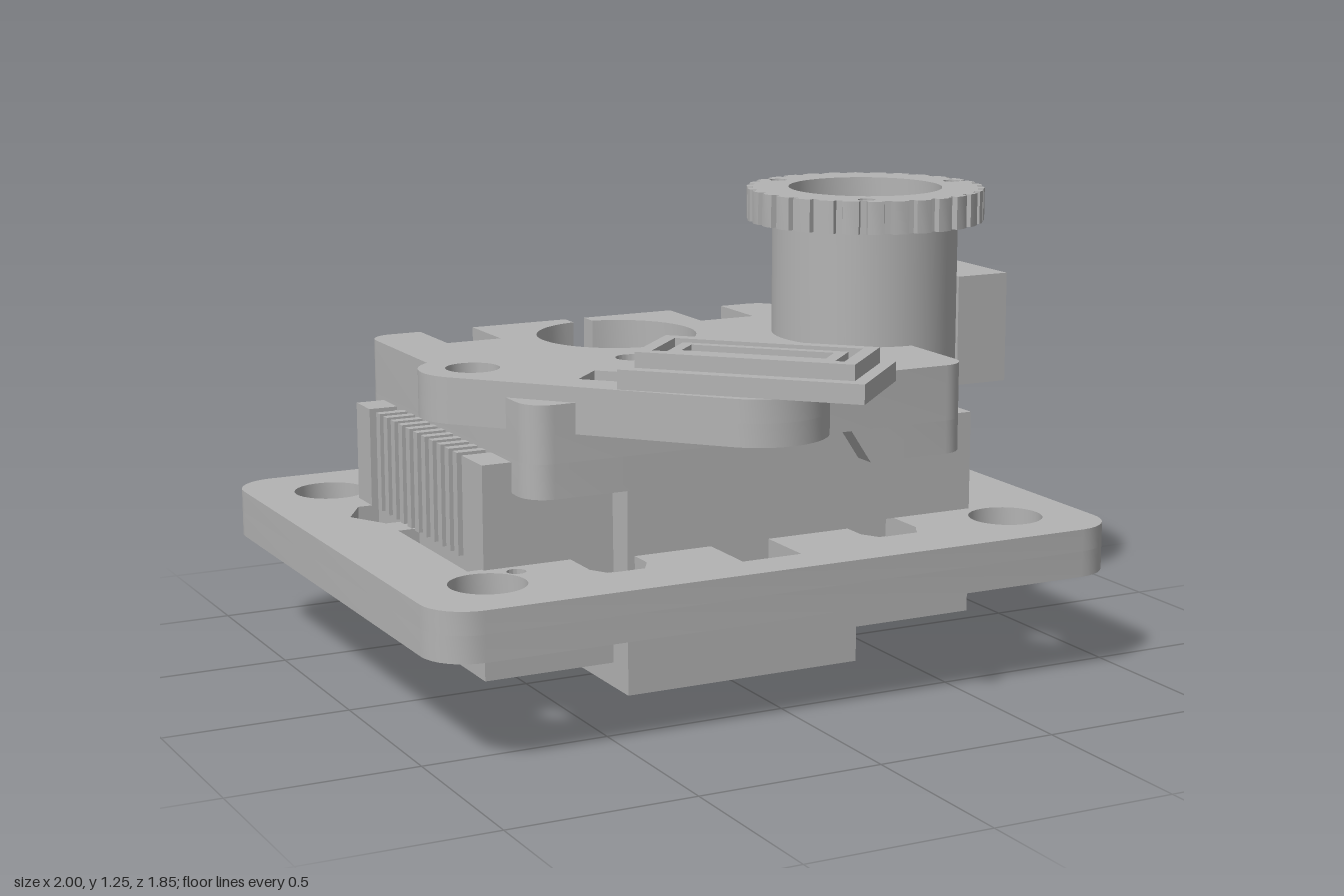
import * as THREE from 'three';
import { toCreasedNormals } from 'three/addons/utils/BufferGeometryUtils.js';

const grey = new THREE.MeshStandardMaterial({ color: 0xb3b3b3 });
grey.name = 'plain grey';

export function createModel() {
  const model = new THREE.Group();

  const add = (name, geo, parent = model) => {
    const mesh = new THREE.Mesh(geo, grey);
    mesh.name = name;
    parent.add(mesh);
    return mesh;
  };
  const box = (name, x0, x1, y0, y1, z0, z1, parent) => add(name,
    new THREE.BoxGeometry(x1 - x0, y1 - y0, z1 - z0)
      .translate((x0 + x1) / 2, (y0 + y1) / 2, (z0 + z1) / 2), parent);

  // Plan outlines use (x, z) and are extruded from y0 up to y1
  const slab = (name, shape, y0, y1, parent) => {
    const geo = new THREE.ExtrudeGeometry(shape, { depth: y1 - y0, bevelEnabled: false, curveSegments: 24 });
    geo.rotateX(Math.PI / 2).translate(0, y1, 0);
    return add(name, toCreasedNormals(geo, 0.5), parent);
  };
  const poly = (pts) => new THREE.Shape(pts.map(([x, z]) => new THREE.Vector2(x, z)));
  const rect = (x0, x1, z0, z1) => poly([[x0, z0], [x1, z0], [x1, z1], [x0, z1]]);
  const circle = (x, z, r) => new THREE.Shape().absarc(x, z, r, 0, Math.PI * 2, false);
  const cut = (shape, ...holes) => { shape.holes.push(...holes); return shape; };
  const arcPts = (cx, cz, r, a0, a1, n = 8) => Array.from({ length: n + 1 }, (_, i) => {
    const a = a0 + (a1 - a0) * i / n;
    return [cx + r * Math.cos(a), cz + r * Math.sin(a)];
  });
  const P = Math.PI;
  // Rounded rectangle; extra points can be inserted along the back and front edges
  const rounded = (x0, x1, z0, z1, r, back = [], front = []) => poly([
    ...arcPts(x0 + r, z0 + r, r, P, 1.5 * P), ...back,
    ...arcPts(x1 - r, z0 + r, r, 1.5 * P, 2 * P),
    ...arcPts(x1 - r, z1 - r, r, 0, P / 2), ...front,
    ...arcPts(x0 + r, z1 - r, r, P / 2, P)]);

  // Base plate: lower layer with through holes, upper layer with counterbores and recesses
  const corners = [[-0.78, -0.71], [0.74, -0.71], [-0.78, 0.41], [0.74, 0.41]];
  slab('basePlateLower', cut(rounded(-1, 0.96, -0.93, 0.63, 0.12),
    ...corners.map(([x, z]) => circle(x, z, 0.066)),
    circle(-0.02, -0.63, 0.105), circle(-0.67, 0.335, 0.025)), 0.28, 0.35);
  const tip = (x0, x1, zIn, zTip) => {
    const zc = zTip - Math.sign(zTip) * 0.05;
    return poly([[x0, zIn], [x0, zc], [x0 + 0.03, zTip], [x1 - 0.03, zTip], [x1, zc], [x1, zIn]]);
  };
  slab('basePlateUpper', cut(rounded(-1, 0.96, -0.93, 0.63, 0.12),
    ...corners.map(([x, z]) => circle(x, z, 0.1)),
    circle(-0.02, -0.64, 0.255), circle(-0.67, 0.335, 0.025),
    tip(-0.5, -0.34, -0.56, -0.755), tip(0.29, 0.46, -0.56, -0.755),
    tip(-0.5, -0.34, 0.25, 0.455), tip(0.29, 0.46, 0.25, 0.455),
    poly([[-0.72, -0.49], [-0.78, -0.49], [-0.84, -0.39], [-0.78, -0.28], [-0.72, -0.28]]),
    rect(-0.78, -0.72, -0.19, 0.28), rect(-0.12, 0.05, 0.3, 0.51)), 0.35, 0.41);

  // Central body and the small foot under it
  box('centralBody', -0.36, 0.32, 0.04, 0.69, -0.63, 0.335);
  slab('foot', cut(rect(-0.14, 0.1, -0.43, 0.13), rect(-0.12, 0.08, -0.41, 0.11)), 0, 0.04);
  box('footPanel', -0.12, 0.08, 0.008, 0.04, -0.41, 0.11);

  // Side pods: finned housing above the plate, open tray below
  for (const [name, x0, out] of [['right', -0.74, -1], ['left', 0.34, 1]]) {
    const pod = new THREE.Group();
    pod.name = name + 'Pod';
    model.add(pod);
    const x1 = x0 + 0.36;
    const skin = out < 0 ? x0 : x1;
    const span = (a, b) => [Math.min(skin - out * a, skin - out * b), Math.max(skin - out * a, skin - out * b)];
    box('podCore', ...span(0.07, 0.36), 0.41, 0.67, -0.59, 0.29, pod);
    box('backPost', ...span(0, 0.08), 0.41, 0.68, -0.59, -0.49, pod);
    box('frontPost', ...span(0, 0.08), 0.41, 0.68, 0.16, 0.29, pod);
    for (let i = 0; i < 11; i++) {
      const z = -0.44 + i * 0.054;
      box('fin', ...span(0, 0.08), 0.41, 0.68, z, z + 0.027, pod);
    }
    slab('trayFrame', cut(rect(x0, x1, -0.59, 0.29), rect(x0 + 0.06, x1 - 0.06, -0.5, 0.2)), 0.12, 0.28, pod);
    const wedge = new THREE.ExtrudeGeometry(
      poly([[x0 + 0.06, 0.14], [x1 - 0.06, 0.28], [x0 + 0.06, 0.28]]), { depth: 0.7, bevelEnabled: false });
    add('traySlope', wedge.translate(0, 0, -0.5), pod);
    add('trayRoller', new THREE.CylinderGeometry(0.06, 0.06, 0.1, 24)
      .rotateX(P / 2).translate(x0 + 0.2, 0.2, 0.15), pod);
  }

  // Cover: upper layer with a keyhole opening, notches, pockets and screw holes
  const notch = (x0, x1) => [[x0, -0.71], [x0, -0.51], [x1, -0.51], [x1, -0.71]];
  const a = Math.asin(0.03 / 0.225);
  const keyhole = [[-0.05, -0.71], ...arcPts(-0.02, -0.43, 0.225, 1.5 * P - a, -0.5 * P + a, 48), [0.01, -0.71]];
  const screws = [[-0.14, -0.085], [0.1, -0.085], [-0.14, 0.175], [0.1, 0.175]];
  const pockets = () => [rect(-0.5, -0.34, -0.03, 0.21), rect(0.29, 0.46, -0.03, 0.21)];
  slab('coverTop', cut(
    rounded(-0.66, 0.62, -0.71, 0.4, 0.07, [...notch(-0.5, -0.34), ...keyhole, ...notch(0.29, 0.46)]),
    ...pockets(), ...screws.map(([x, z]) => circle(x, z, 0.045)), circle(0.44, -0.15, 0.03)), 0.69, 0.84);
  const slot = [[-0.05, -0.71], [-0.05, -0.62], [0.01, -0.62], [0.01, -0.71]];
  slab('coverSkirt', cut(
    rounded(-0.66, 0.62, -0.71, 0.4, 0.07, [...notch(-0.5, -0.34), ...slot, ...notch(0.29, 0.46)],
      [[0.32, 0.4], [0.32, 0.33], [-0.36, 0.33], [-0.36, 0.4]]), ...pockets()), 0.6, 0.69);
  for (const pts of [[[-0.36, 0.6], [-0.3, 0.69], [-0.36, 0.69]], [[0.32, 0.6], [0.32, 0.69], [0.26, 0.69]]])
    add('openingChamfer', new THREE.ExtrudeGeometry(poly(pts), { depth: 0.07, bevelEnabled: false }).translate(0, 0, 0.33));
  for (const [x, z] of screws)
    slab('screwSeat', cut(circle(x, z, 0.045), circle(x, z, 0.022)), 0.69, 0.79);

  // Hollow tower with a knurled ring on top
  const cx = 0.62, cz = -0.15;
  slab('towerTube', cut(circle(cx, cz, 0.26), circle(cx, cz, 0.215)), 0.41, 1.16);
  const knurl = [];
  const teeth = 30;
  for (let i = 0; i < teeth; i++)
    for (const [f, r] of [[0, 0.315], [0.25, 0.315], [0.3, 0.33], [0.65, 0.333], [0.95, 0.33]]) {
      const t = (i + f) / teeth * 2 * P;
      knurl.push([cx + r * Math.cos(t), cz + r * Math.sin(t)]);
    }
  slab('knurledRing', cut(poly(knurl), circle(cx, cz, 0.215),
    ...[0, 1, 2].map((i) => circle(cx + 0.285 * Math.cos(i * 2 * P / 3), cz + 0.285 * Math.sin(i * 2 * P / 3), 0.024))), 1.16, 1.25);

  // Block on the side of the tower, with a small bore
  const block = new THREE.ExtrudeGeometry(cut(rect(0, 0.285, 0.69, 1.0), circle(0.142, 0.85, 0.022)),
    { depth: 0.16, bevelEnabled: false });
  add('towerSideBlock', toCreasedNormals(block.rotateY(P / 2).translate(0.84, 0, 0), 0.5));

  // Lever arm: built along +x from its pivot, then turned 45 degrees
  const arm = new THREE.Group();
  arm.name = 'leverArm';
  arm.position.set(-0.66, 0, 0.05);
  arm.rotation.y = -P / 4;
  model.add(arm);
  const len = 0.76;
  const lean = Math.acos((0.14 - 0.18) / len);
  const armOutline = () => poly([
    ...arcPts(0, 0, 0.14, lean, 2 * P - lean, 32),
    ...arcPts(len, 0, 0.18, -lean, lean, 32)]);
  slab('armLower', cut(armOutline(), circle(0, 0, 0.07)), 0.76, 0.82, arm);
  slab('armUpper', cut(armOutline(), circle(0, 0, 0.07), rect(0.31, 0.44, -0.06, 0.06)), 0.82, 0.88, arm);

  // Stepped rectangular pad at the end of the arm
  const frame = (l, w) => rect(len - l / 2, len + l / 2, -w / 2, w / 2);
  slab('padBase', frame(0.627, 0.315), 0.88, 0.93, arm);
  slab('padOuterFrame', cut(frame(0.56, 0.246), frame(0.49, 0.18)), 0.93, 0.97, arm);
  slab('padInnerFrame', cut(frame(0.43, 0.13), frame(0.37, 0.08)), 0.93, 0.965, arm);
  slab('padButton', circle(len, 0, 0.027), 0.93, 0.945, arm);

  return model;
}
